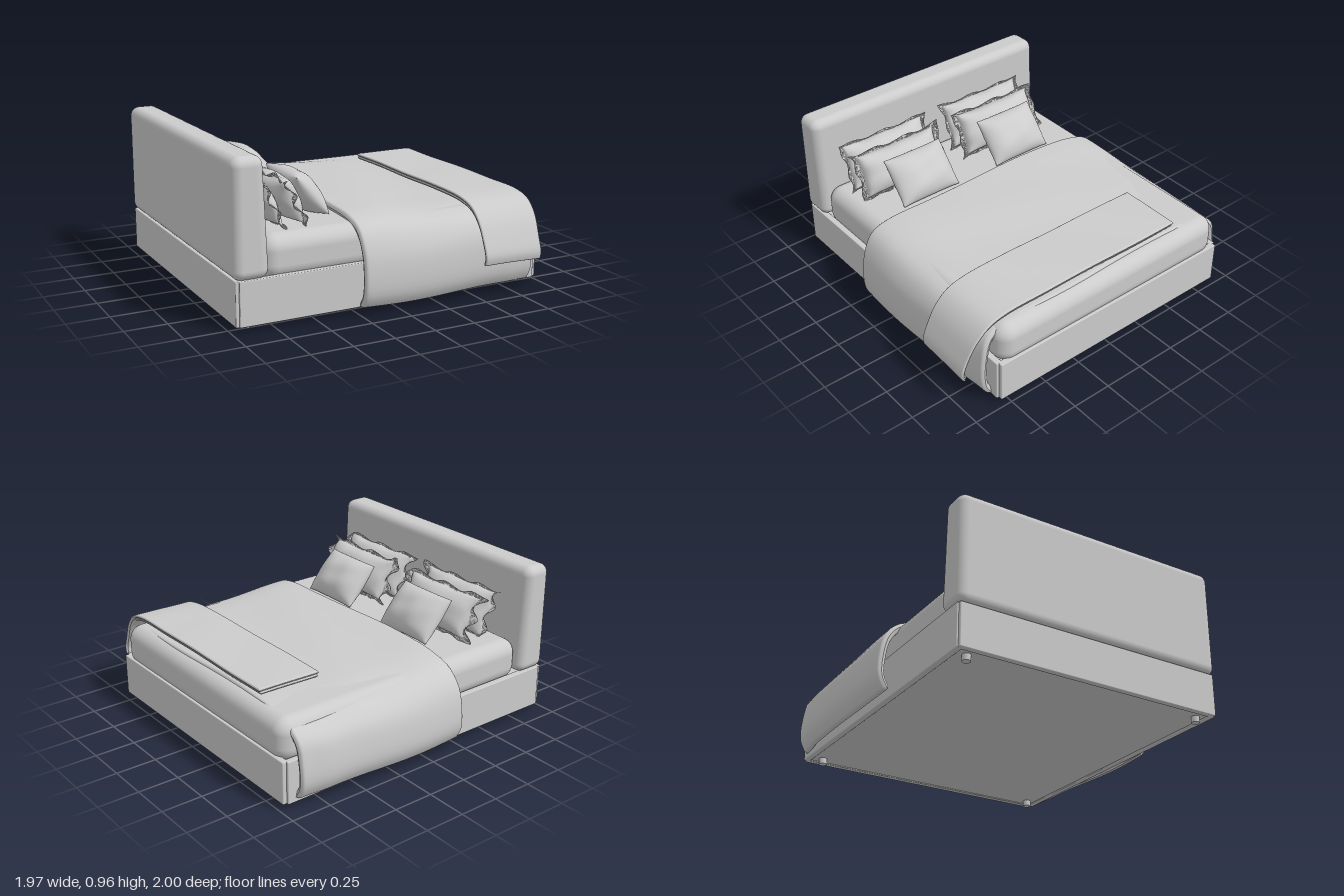
import * as THREE from 'three';
import { RoundedBoxGeometry } from 'three/addons/geometries/RoundedBoxGeometry.js';
import { mergeVertices } from 'three/addons/utils/BufferGeometryUtils.js';

const grey = new THREE.MeshStandardMaterial({ color: 0xcccccc });
const cloth = new THREE.MeshStandardMaterial({ color: 0xcccccc, side: THREE.DoubleSide });
const ss = THREE.MathUtils.smoothstep;

function add(group, name, geometry, material = grey) {
  const mesh = new THREE.Mesh(geometry, material);
  mesh.name = name;
  group.add(mesh);
  return mesh;
}

// Rounded box given by its limits on each axis
function block(group, name, [x0, x1], [y0, y1], [z0, z1], radius, segments = 2) {
  const geo = new RoundedBoxGeometry(x1 - x0, y1 - y0, z1 - z0, segments, radius);
  const mesh = add(group, name, geo);
  mesh.position.set((x0 + x1) / 2, (y0 + y1) / 2, (z0 + z1) / 2);
  return mesh;
}

// Smooth surface through rings of points; each ring closes on itself
function loft(rings) {
  const n = rings[0].length, index = [];
  for (let i = 0; i < rings.length - 1; i++) {
    for (let j = 0; j < n; j++) {
      const a = i * n + j, b = i * n + (j + 1) % n;
      index.push(a, b, a + n, b, b + n, a + n);
    }
  }
  const geo = new THREE.BufferGeometry().setFromPoints(rings.flat());
  geo.setIndex(index);
  geo.computeVertexNormals();
  return geo;
}

// Cloth slab: a [z, y] path swept from x0 to x1, with soft rounded hems
function drape(path, x0, x1, thickness, warp) {
  const curve = new THREE.CatmullRomCurve3(path.map(([z, y]) => new THREE.Vector3(0, y, z)), false, 'centripetal');
  const nu = 48, nv = 80, rings = [];
  const hem = (s, length) => {
    const d = Math.min(1, Math.min(s, 1 - s) * length / (thickness * 0.5));
    return Math.sqrt(Math.max(0, 1 - (1 - d) ** 2));
  };
  const spread = (k, n, length) => { // extra rows close to the hems
    const e = thickness * 0.5 / length;
    if (k < 4) return e * k / 4;
    if (k > n - 4) return 1 - e * (n - k) / 4;
    return e + (1 - 2 * e) * (k - 4) / (n - 8);
  };
  const length = curve.getLength();
  for (let i = 0; i <= nu; i++) {
    const u = spread(i, nu, x1 - x0), outer = [], inner = [];
    for (let j = 0; j <= nv; j++) {
      const v = spread(j, nv, length);
      const p = curve.getPointAt(v), t = curve.getTangentAt(v);
      const normal = new THREE.Vector3(0, -t.z, t.y);
      const half = thickness / 2 * hem(u, x1 - x0) * hem(v, length);
      p.x = x0 + (x1 - x0) * u;
      p.addScaledVector(normal, -thickness / 2);
      outer.push(warp(p.clone().addScaledVector(normal, half)));
      inner.unshift(warp(p.clone().addScaledVector(normal, -half)));
    }
    rings.push([...outer, ...inner]);
  }
  return loft(rings);
}

// Pillow facing +x: puffed body inside an optional flat ruffled border
function pillowGeometry(width, height, thick, border, pinch, seed) {
  const n = 32, body = 1 - border, positions = [], index = [];
  const puff = (s) => Math.max(0, 1 - Math.abs(s / body) ** 2.6);
  for (const side of [1, -1]) {
    const base = positions.length / 3;
    for (let i = 0; i <= n; i++) {
      for (let j = 0; j <= n; j++) {
        const u = Math.sin((i / n - 0.5) * Math.PI), v = Math.sin((j / n - 0.5) * Math.PI);
        const edge = Math.max(Math.abs(u), Math.abs(v)) ** 8;
        const ruffle = border * 0.16 * edge * Math.sin(u * 9 + v * 7 + seed);
        const crease = 1 + 0.05 * Math.sin(u * 5 + v * 3 + seed) * Math.cos(v * 4 - u * 2);
        positions.push(
          side * thick / 2 * (puff(u) * puff(v)) ** 0.55 * crease + ruffle,
          v * height / 2 * (1 - pinch * (1 - u ** 4)) + ruffle * 0.6 * Math.abs(v) ** 6,
          u * width / 2 * (1 - pinch * (1 - v ** 4)) + ruffle * Math.abs(u) ** 6);
        if (i < n && j < n) {
          const a = base + i * (n + 1) + j, b = a + 1, c = a + n + 1, d = c + 1;
          if (side > 0) index.push(a, b, c, b, d, c);
          else index.push(a, c, b, b, c, d);
        }
      }
    }
  }
  let geo = new THREE.BufferGeometry();
  geo.setAttribute('position', new THREE.Float32BufferAttribute(positions, 3));
  geo.setIndex(index);
  geo = mergeVertices(geo, 1e-5);
  geo.computeVertexNormals();
  return geo;
}

function buildFrame(bed) {
  const frame = new THREE.Group();
  frame.name = 'frame';
  bed.add(frame);
  const y = [0.03, 0.29];
  block(frame, 'sideRailLeft', [-0.955, 0.955], y, [0.78, 0.82], 0.006);
  block(frame, 'sideRailRight', [-0.955, 0.955], y, [-0.9, -0.86], 0.006);
  block(frame, 'footPanel', [0.94, 0.98], y, [-0.885, 0.805], 0.006);
  block(frame, 'headPanel', [-0.975, -0.935], y, [-0.89, 0.81], 0.006);
  block(frame, 'basePanel', [-0.945, 0.945], [0.037, 0.275], [-0.87, 0.79], 0.004);
  for (const x of [-0.885, 0.885]) {
    for (const z of [-0.8, 0.73]) {
      add(frame, 'foot', new THREE.CylinderGeometry(0.025, 0.025, 0.045, 20)).position.set(x, 0.0225, z);
    }
  }
}

function buildHeadboard(bed) {
  const headboard = block(bed, 'headboard', [-0.985, -0.775], [0.285, 0.96], [-0.905, 0.83], 0.055, 6);
  // Lean the front face back slightly towards the top
  const p = headboard.geometry.attributes.position;
  for (let i = 0; i < p.count; i++) {
    if (p.getX(i) > 0 && p.getY(i) > 0) p.setX(i, p.getX(i) - 0.025);
  }
}

function buildBedding(bed) {
  block(bed, 'mattress', [-0.8, 0.975], [0.245, 0.505], [-0.87, 0.795], 0.09, 6);

  // Duvet hanging over both long sides
  const duvetPath = [[0.86, 0.03], [0.9, 0.1], [0.908, 0.24], [0.885, 0.37], [0.82, 0.475], [0.7, 0.52], [0.4, 0.538],
    [0, 0.542], [-0.4, 0.538], [-0.72, 0.52], [-0.87, 0.475], [-0.95, 0.39], [-0.985, 0.25], [-0.985, 0.13], [-0.945, 0.05]];
  add(bed, 'duvet', drape(duvetPath, -0.24, 0.905, 0.045, (p) => {
    const top = ss(p.y, 0.3, 0.52), hang = 1 - top, x = p.x;
    p.y += top * (0.012 - 0.036 * ss(x, -0.25, 0.6) + 0.003 * Math.sin(x * 11 + p.z * 4));
    p.z += hang * Math.sign(p.z) * (0.008 * Math.sin(x * 5 + 1) - 0.02 * ss(x, 0.7, 0.9));
    p.y += hang * 0.006 * Math.sin(x * 6 - 2);
    p.x += 0.008 * Math.sin(p.z * 5) * top;
    return p;
  }), cloth);

  // Folded throw across the foot, in two layers
  const throwPath = [[0.975, 0.205], [0.985, 0.25], [0.95, 0.35], [0.9, 0.44], [0.82, 0.51], [0.7, 0.543],
    [0.4, 0.552], [0, 0.552], [-0.57, 0.55]];
  for (const [name, lift, x0, x1] of [['throwLowerLayer', 0, 0.505, 0.89], ['throwUpperLayer', 0.019, 0.5, 0.9]]) {
    add(bed, name, drape(throwPath, x0, x1, 0.02, (p) => {
      const flat = ss(p.y, 0.3, 0.54);
      p.y += lift * flat - 0.01 * (p.x - 0.7) * (1 - flat) + 0.002 * Math.sin(p.z * 9 + p.x * 8);
      p.z += lift * 0.5 * (1 - flat) + 0.02 * (p.x - 0.7);
      p.x -= 0.02 * (1 - flat) * ss(p.x, 0.6, 0.9);
      return p;
    }), cloth);
  }
}

function buildPillows(bed) {
  // name, width, height, thickness, border, pinch, x, y, tilt
  const kinds = [
    ['backPillow', 0.66, 0.31, 0.15, 0.1, 0.06, -0.69, 0.64, 0.46],
    ['middlePillow', 0.68, 0.31, 0.18, 0.12, 0.08, -0.555, 0.64, 0.46],
    ['frontCushion', 0.42, 0.31, 0.17, 0, 0.03, -0.385, 0.63, 0.72],
  ];
  for (const side of [1, -1]) {
    kinds.forEach(([name, w, h, t, border, pinch, x, y, tilt], k) => {
      const mesh = add(bed, name + (side > 0 ? 'Left' : 'Right'), pillowGeometry(w, h, t, border, pinch, k * 2 + side), cloth);
      mesh.position.set(x, y, side * (border ? 0.385 : 0.36) - (border ? 0.012 : 0.024));
      mesh.rotation.z = tilt;
    });
  }
}

export function createModel() {
  const bed = new THREE.Group();
  bed.name = 'bed';
  buildFrame(bed);
  buildHeadboard(bed);
  buildBedding(bed);
  buildPillows(bed);
  return bed;
}
